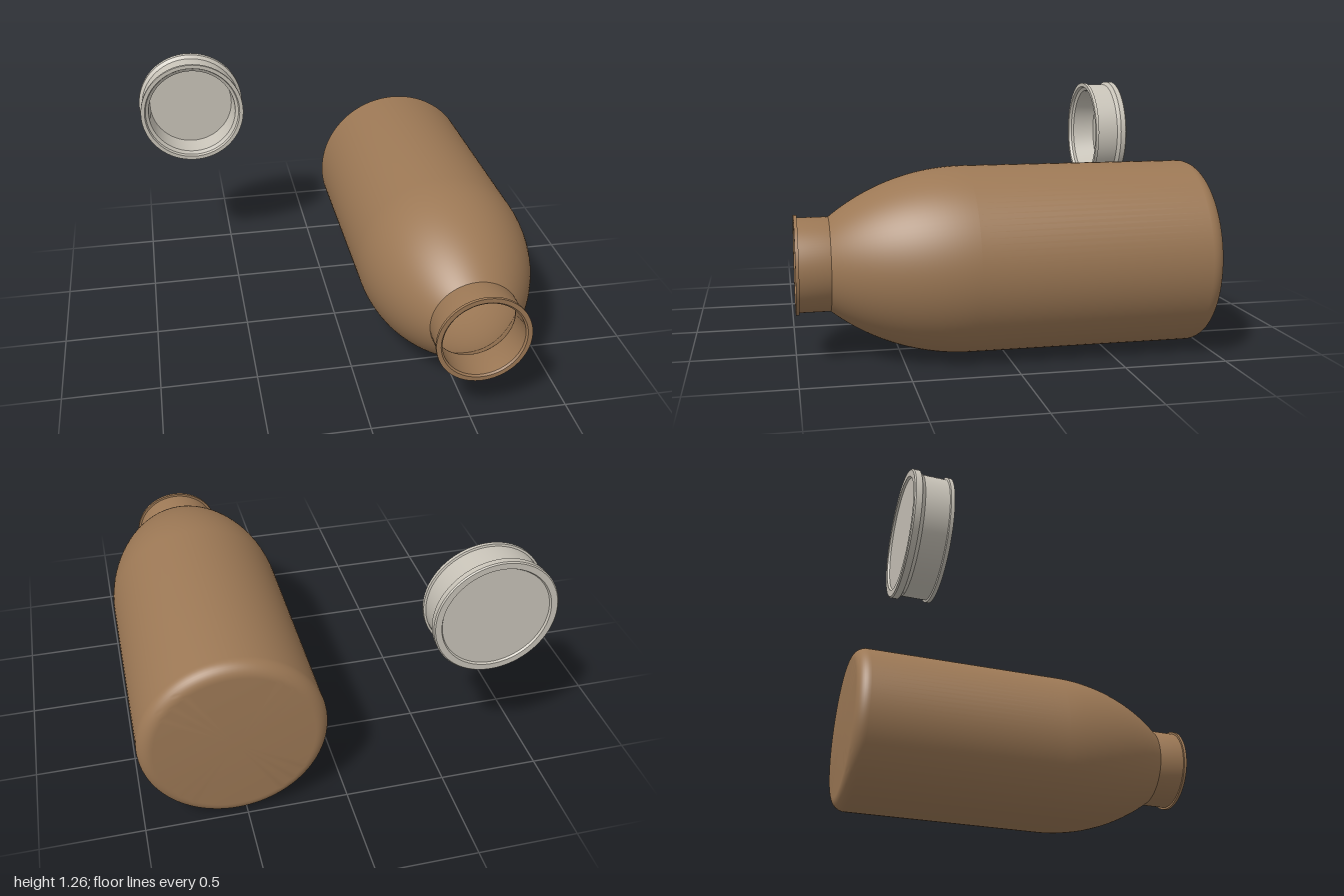
import * as THREE from 'three';
import { toCreasedNormals } from 'three/addons/utils/BufferGeometryUtils.js';

// Points [radius, axial position] along a circular arc
function arc(cr, cz, radius, from, to, steps) {
  const pts = [];
  for (let i = 0; i <= steps; i++) {
    const a = from + (to - from) * i / steps;
    pts.push([cr + radius * Math.cos(a), cz + radius * Math.sin(a)]);
  }
  return pts;
}

// Revolve a profile around the z axis, keeping hard edges sharp
function turned(name, profile, color, x, y) {
  const points = profile.map(([r, z]) => new THREE.Vector2(Math.max(r, 0), z));
  const lathe = new THREE.LatheGeometry(points, 96).rotateX(Math.PI / 2);
  const mesh = new THREE.Mesh(
    toCreasedNormals(lathe, 0.45),
    new THREE.MeshStandardMaterial({ color, side: THREE.DoubleSide })
  );
  mesh.name = name;
  mesh.position.set(x, y, 0);
  return mesh;
}

export function createModel() {
  const group = new THREE.Group();
  group.name = 'bottleAndCap';

  // Bottle: rounded base, straight body, curved shoulder, neck and lip, hollow inside
  const R = 0.455, wall = 0.02, shoulder = 1.05;
  const sweep = Math.asin(0.655 / shoulder);
  const bottle = [
    [0, -0.995],
    ...arc(R - 0.07, -0.925, 0.07, -Math.PI / 2, 0, 10),
    ...arc(R - shoulder, 0.18, shoulder, 0, sweep, 24),
    [0.226, 0.837], [0.226, 0.982],
    [0.238, 0.982], [0.238, 0.998],
    [0.215, 0.998], [0.206, 0.99], [0.206, 0.837],
    ...arc(R - shoulder, 0.18, shoulder - wall, sweep, 0, 24),
    ...arc(R - 0.07, -0.925, 0.05, 0, -Math.PI / 2, 10),
    [0, -0.975],
  ];
  group.add(turned('bottle', bottle, 0x9c7855, 0.545, R));

  // Cap: wide back flange with a shallow recess, waisted side, open front with a thin lip
  const cap = [
    [0, -0.97], [0.262, -0.97], [0.268, -0.98], [0.298, -0.98],
    [0.304, -0.974], [0.304, -0.946], [0.298, -0.942],
    [0.287, -0.928], [0.287, -0.815],
    [0.297, -0.812], [0.297, -0.795],
    [0.276, -0.795], [0.27, -0.81], [0.252, -0.82],
    [0.24, -0.945], [0, -0.945],
  ];
  group.add(turned('cap', cap, 0xc8c3b8, -0.696, 0.955));

  return group;
}
